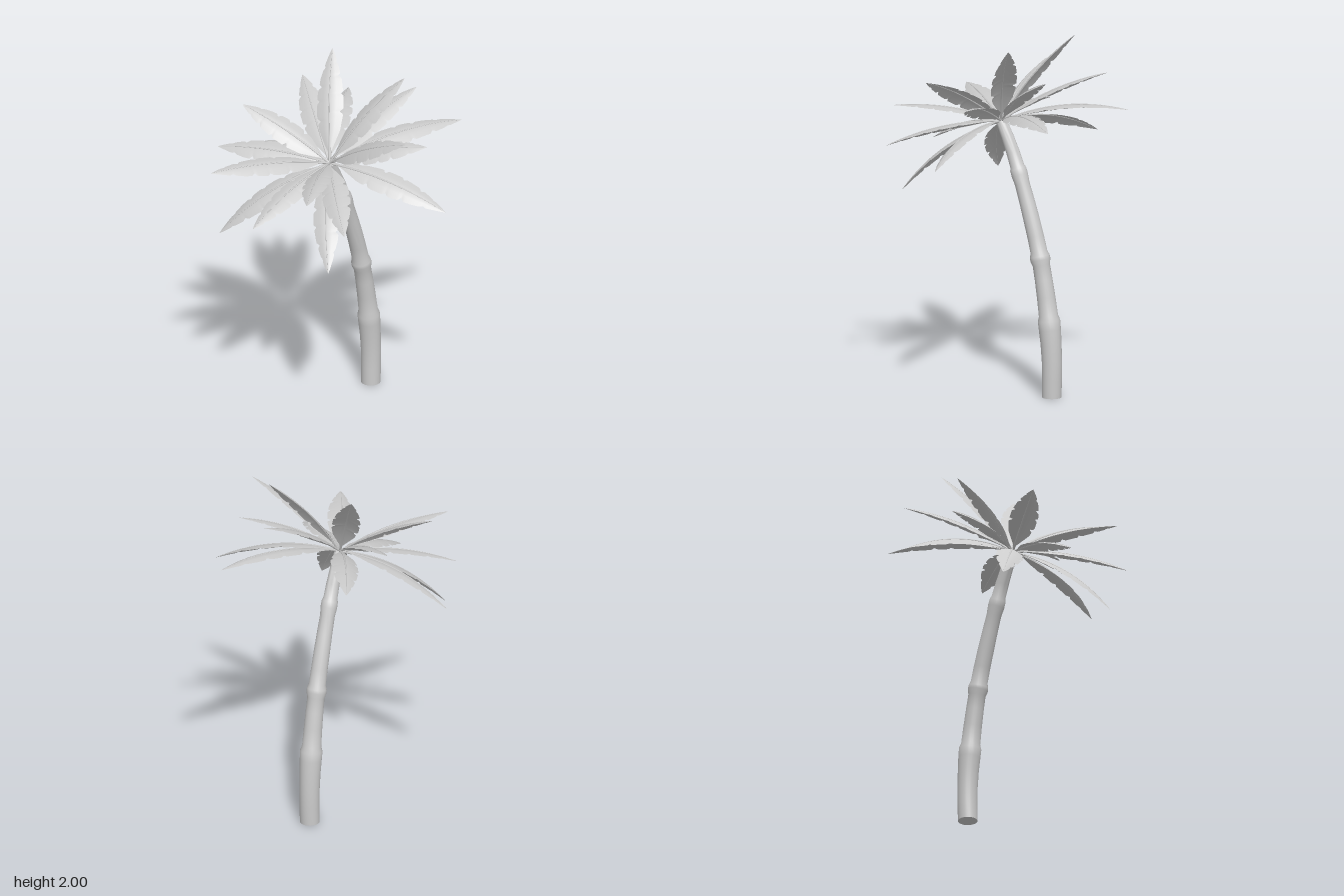
import * as THREE from 'three';
import { toCreasedNormals } from 'three/addons/utils/BufferGeometryUtils.js';

const V = (x, y, z = 0) => new THREE.Vector3(x, y, z);
const material = new THREE.MeshStandardMaterial({ color: 0xcccccc });
const leafMaterial = new THREE.MeshStandardMaterial({ color: 0xcccccc, side: THREE.DoubleSide });

const crown = V(-0.05, 1.5);
const crownUp = V(-0.42, 0.9).normalize(); // the crown leans with the trunk

// Tips of the fronds, six to a ring, with the arch of each ring
const rings = [
  { name: 'upperFrond', arch: 0.035, tips: [
    [0.28, 2.0, -0.235], [0.255, 1.99, 0.285], [-0.1, 1.81, 0.565],
    [-0.61, 1.55, 0.275], [-0.64, 1.56, -0.37], [-0.17, 1.75, -0.51]] },
  { name: 'middleFrond', arch: 0.04, tips: [
    [0.46, 1.83, 0.21], [0.15, 1.68, 0.52], [-0.5, 1.37, 0.45],
    [-0.63, 1.3, -0.085], [-0.25, 1.49, -0.62], [0.315, 1.75, -0.47]] },
  { name: 'lowerFrond', arch: 0.06, tips: [
    [0.635, 1.61, 0.385], [0.085, 1.36, 0.7], [-0.49, 1.1, 0.33],
    [-0.47, 1.1, -0.44], [0.03, 1.34, -0.7], [0.58, 1.6, -0.355]] },
];

// Half width of a blade along its length
const outline = [[0, 0.004], [0.09, 0.008], [0.16, 0.028], [0.28, 0.06], [0.42, 0.076],
  [0.58, 0.076], [0.74, 0.06], [0.88, 0.033], [0.96, 0.013], [1, 0.001]];
function halfWidth(t) {
  const i = Math.max(1, outline.findIndex((p) => p[0] >= t));
  const [a, b] = [outline[i - 1], outline[i]];
  return THREE.MathUtils.mapLinear(t, a[0], b[0], a[1], b[1]);
}

// Wedge cuts in the edges, different on each side
const cuts = { left: [0.36, 0.53, 0.66, 0.83], right: [0.44, 0.6, 0.76, 0.88] };
function cutDepth(t, list) {
  return list.reduce((d, c, i) =>
    Math.max(d, (i % 2 ? 0.2 : 0.3) * (1 - Math.abs(t - c) / 0.022)), 0);
}

function moveVertices(geometry, rule) {
  const p = geometry.attributes.position;
  for (let i = 0; i < p.count; i++) {
    const v = rule(p.getX(i), p.getY(i), p.getZ(i));
    p.setXYZ(i, v.x, v.y, v.z);
  }
  geometry.computeVertexNormals();
  return geometry;
}

function addMesh(parent, name, geometry, mat) {
  const mesh = new THREE.Mesh(geometry, mat);
  mesh.name = name;
  parent.add(mesh);
}

function createFrond(name, tip, arch, mirror) {
  const frond = new THREE.Group();
  frond.name = name;
  const chord = V(...tip).sub(crown);
  const side = chord.clone().cross(crownUp).normalize();
  const normal = side.clone().cross(chord).normalize();
  // Point at t along the arched midrib, x sideways and h above it
  const at = (t, x, h) => crown.clone().addScaledVector(chord, t)
    .addScaledVector(side, x).addScaledVector(normal, h + arch * 4 * t * (1 - t));

  // Blade: a strip folded slightly down on both sides of the midrib
  const blade = moveVertices(new THREE.PlaneGeometry(2, 1, 4, 90), (x, y) => {
    const t = y + 0.5;
    const list = x * mirror > 0 ? cuts.right : cuts.left;
    const w = halfWidth(t) * (1 - cutDepth(t, list) * Math.abs(x));
    return at(t, x * w, -0.28 * w * Math.abs(x) ** 1.5);
  });
  addMesh(frond, 'blade', blade, leafMaterial);

  // Stalk and midrib in one tapered rod
  const rib = moveVertices(new THREE.CylinderGeometry(0.0015, 0.008, 1, 6, 16),
    (x, y, z) => at((y + 0.5) * 0.97, x, -z * 0.8));
  addMesh(frond, 'midrib', rib, leafMaterial);
  return frond;
}

function createTrunk() {
  const path = new THREE.CatmullRomCurve3([
    V(0.32, 0), V(0.322, 0.2), V(0.3, 0.43), V(0.235, 0.77),
    V(0.165, 1.0), V(0.08, 1.23), V(0.015, 1.38), V(-0.05, 1.5)]);
  const length = path.getLength();
  // Radius by distance along the trunk, flaring to a collar at each joint
  const profile = [[0, 0], [0.054, 0], [0.055, 0.1], [0.056, 0.2], [0.058, 0.3], [0.061, 0.38],
    [0.062, 0.43], [0.053, 0.458], [0.051, 0.56], [0.049, 0.66], [0.048, 0.74], [0.056, 0.77],
    [0.055, 0.79], [0.047, 0.815], [0.046, 0.9], [0.045, 1.0], [0.043, 1.1], [0.041, 1.2],
    [0.046, 1.25], [0.045, 1.285], [0.039, 1.3], [0.037, 1.38], [0.034, 1.47],
    [0.03, length], [0, length]];
  const lathe = new THREE.LatheGeometry(profile.map(([r, s]) => new THREE.Vector2(r, s)), 24);
  const bent = moveVertices(lathe, (x, y, z) => {
    const u = Math.min(1, y / length);
    const p = path.getPointAt(u);
    const t = path.getTangentAt(u);
    return y === 0 ? V(p.x + x, 0, z) : V(p.x + t.y * x, p.y - t.x * x, z);
  });
  return toCreasedNormals(bent, 0.6);
}

export function createModel() {
  const palm = new THREE.Group();
  palm.name = 'palmTree';
  addMesh(palm, 'trunk', createTrunk(), material);
  const fronds = new THREE.Group();
  fronds.name = 'fronds';
  for (const { name, arch, tips } of rings) {
    tips.forEach((tip, i) => fronds.add(createFrond(name + (i + 1), tip, arch, i % 2 ? -1 : 1)));
  }
  palm.add(fronds);
  return palm;
}
